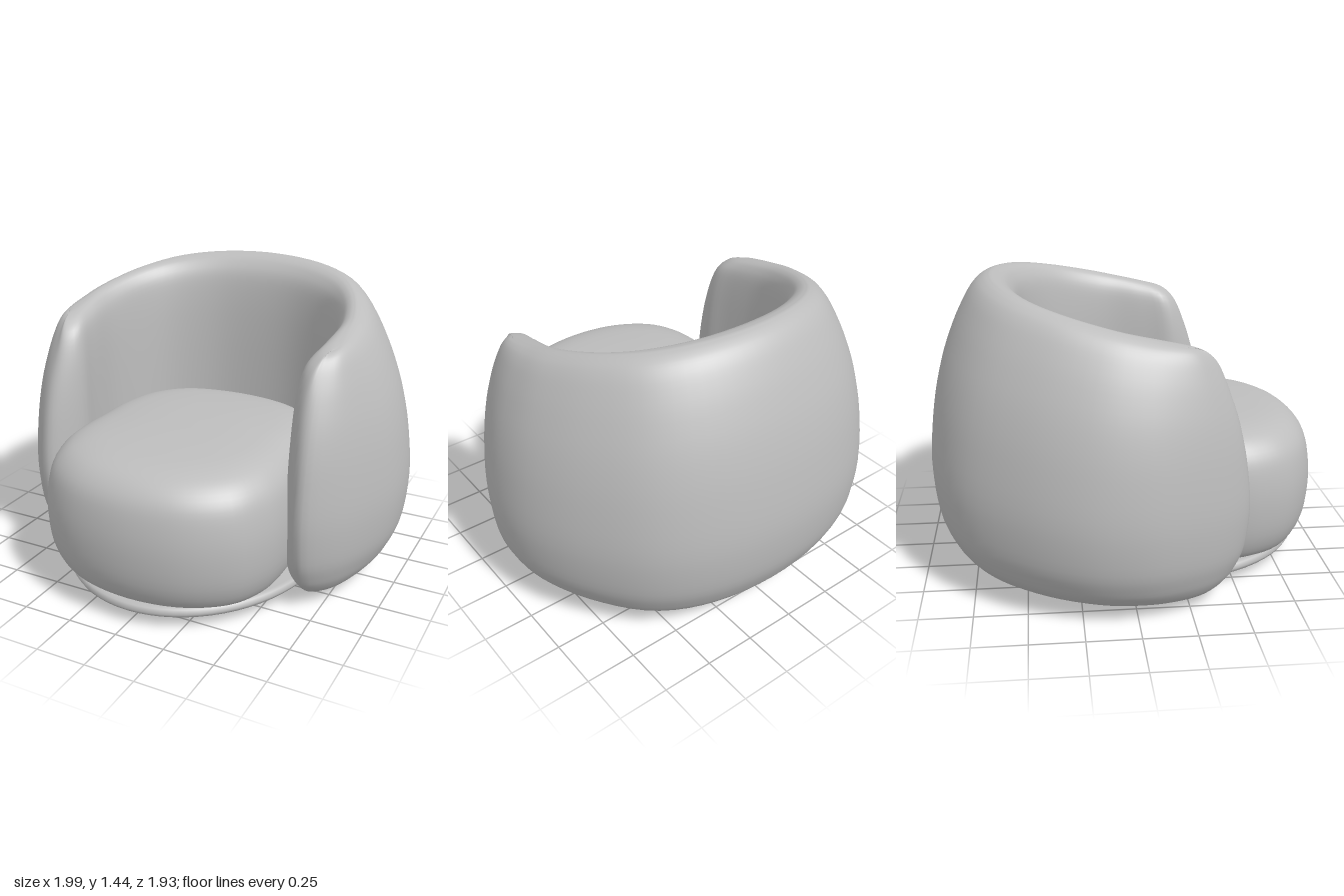
import * as THREE from 'three';
import { mergeVertices } from 'three/addons/utils/BufferGeometryUtils.js';

const V = (x, y, z) => new THREE.Vector3(x, y, z);

// Smooth skin over a stack of closed rings (arrays of Vector3, bottom to top)
function loft(rings) {
  const n = rings[0].length, pos = [], idx = [];
  rings.forEach((ring) => ring.forEach((p) => pos.push(p.x, p.y, p.z)));
  for (let j = 0; j < rings.length - 1; j++) {
    for (let i = 0; i < n; i++) {
      const a = j * n + i, b = j * n + (i + 1) % n;
      idx.push(a, a + n, b, b, a + n, b + n);
    }
  }
  let g = new THREE.BufferGeometry();
  g.setAttribute('position', new THREE.Float32BufferAttribute(pos, 3));
  g.setIndex(idx);
  g = mergeVertices(g, 1e-4);
  g.computeVertexNormals();
  return g;
}

// Closed smooth ring from the points of the +x half, mirrored to -x
function mirroredRing(half, count) {
  const left = half.slice(1, -1).reverse().map((p) => V(-p.x, p.y, p.z));
  const curve = new THREE.CatmullRomCurve3([...half, ...left], true, 'catmullrom', 0.5);
  return Array.from({ length: count }, (_, i) => curve.getPoint(i / count));
}

// Resample a short profile smoothly
function smoothProfile(rows, count) {
  return new THREE.CatmullRomCurve3(rows.map((r) => V(...r))).getPoints(count);
}

// Wraparound back and arms: a C-shaped plan shrinking to its crest line
function shellGeometry() {
  // outer x,z, inner x,z, crest x,z from the back centre to the arm tip
  const plan = [
    [0, -0.965, 0, -0.48, 0, -0.64],
    [0.36, -0.92, 0.23, -0.455, 0.26, -0.60],
    [0.64, -0.78, 0.43, -0.36, 0.47, -0.49],
    [0.85, -0.52, 0.545, -0.22, 0.61, -0.31],
    [0.97, -0.25, 0.60, -0.02, 0.69, -0.10],
    [0.99, 0.0, 0.585, 0.20, 0.71, 0.05],
    [0.93, 0.22, 0.56, 0.35, 0.72, 0.15],
    [0.83, 0.41, 0.61, 0.47, 0.715, 0.21],
  ];
  const tip = [0.70, 0.525, 0, 0, 0.69, 0.24];
  const innerMix = [0, 0, 0, 0, 0, 0, 0.1, 0.5];
  // relative height, outer swell, inner swell
  const profile = smoothProfile([
    [0, 0, 0], [0.005, 0.25, 0.2], [0.02, 0.46, 0.5], [0.06, 0.66, 0.8], [0.11, 0.8, 0.95],
    [0.2, 0.94, 1], [0.36, 1, 1], [0.55, 0.92, 1], [0.7, 0.78, 0.98], [0.83, 0.58, 0.92],
    [0.92, 0.39, 0.8], [0.97, 0.24, 0.55], [0.992, 0.11, 0.28], [1, 0, 0],
  ], 52);
  const rings = profile.map(({ x: v, y: kOut, z: kIn }) => {
    const at = (ox, oz, cx, cz, k) => V(
      cx + (ox - cx) * k,
      0.045 + (1.245 - 0.24 * cz) * v,
      cz + (oz - cz) * k,
    );
    const half = [
      ...plan.map((p) => at(p[0], p[1], p[4], p[5], kOut)),
      at(tip[0], tip[1], tip[4], tip[5], kOut),
      ...plan.map((p, i) => at(p[2], p[3], p[4], p[5],
        THREE.MathUtils.lerp(kIn, kOut, innerMix[i]))).reverse(),
    ];
    return mirroredRing(half, 136);
  });
  return loft(rings);
}

// Plump seat cushion: one plan outline scaled by a rounded side profile
function cushionGeometry() {
  const plan = [[0, -0.46], [0.34, -0.40], [0.53, -0.22], [0.6, 0.02], [0.605, 0.25],
    [0.61, 0.45], [0.585, 0.62], [0.49, 0.79], [0.28, 0.92], [0, 0.965]];
  const cz = 0.25;
  const profile = smoothProfile([
    [0.1, 0, 0], [0.1, 0.5, 0], [0.105, 0.82, 0], [0.14, 0.91, 0], [0.24, 0.975, 0],
    [0.4, 1, 0], [0.54, 0.985, 0], [0.64, 0.945, 0], [0.71, 0.86, 0], [0.75, 0.73, 0],
    [0.77, 0.5, 0], [0.778, 0.25, 0], [0.78, 0, 0],
  ], 44);
  return loft(profile.map(({ x: y, y: k }) =>
    mirroredRing(plan.map(([x, z]) => V(x * k, y, cz + (z - cz) * k)), 80)));
}

export function createModel() {
  const group = new THREE.Group();
  const fabric = new THREE.MeshStandardMaterial({ color: 0xbdbdbd });
  fabric.name = 'grey';
  const add = (name, geometry) => {
    const mesh = new THREE.Mesh(geometry, fabric);
    mesh.name = name;
    group.add(mesh);
    return mesh;
  };

  add('backAndArms', shellGeometry());
  add('seatCushion', cushionGeometry());

  // Oval base plate with a rounded rim
  const rim = [[0, 0.058], [0.96, 0.058], [0.985, 0.066], [1, 0.085], [0.985, 0.104],
    [0.96, 0.112], [0, 0.112]].map(([x, y]) => new THREE.Vector2(x, y));
  const plate = new THREE.LatheGeometry(rim, 72);
  plate.scale(0.65, 1, 0.78);
  plate.translate(0, 0, 0.125);
  add('basePlate', plate);

  // Four block feet, the front pair set wider
  for (const side of [1, -1]) {
    for (const [name, x, z] of [['frontFoot', 0.45, 0.375], ['backFoot', 0.345, -0.47]]) {
      add(name, new THREE.BoxGeometry(0.115, 0.07, 0.115)).position.set(side * x, 0.035, z);
    }
  }
  return group;
}
